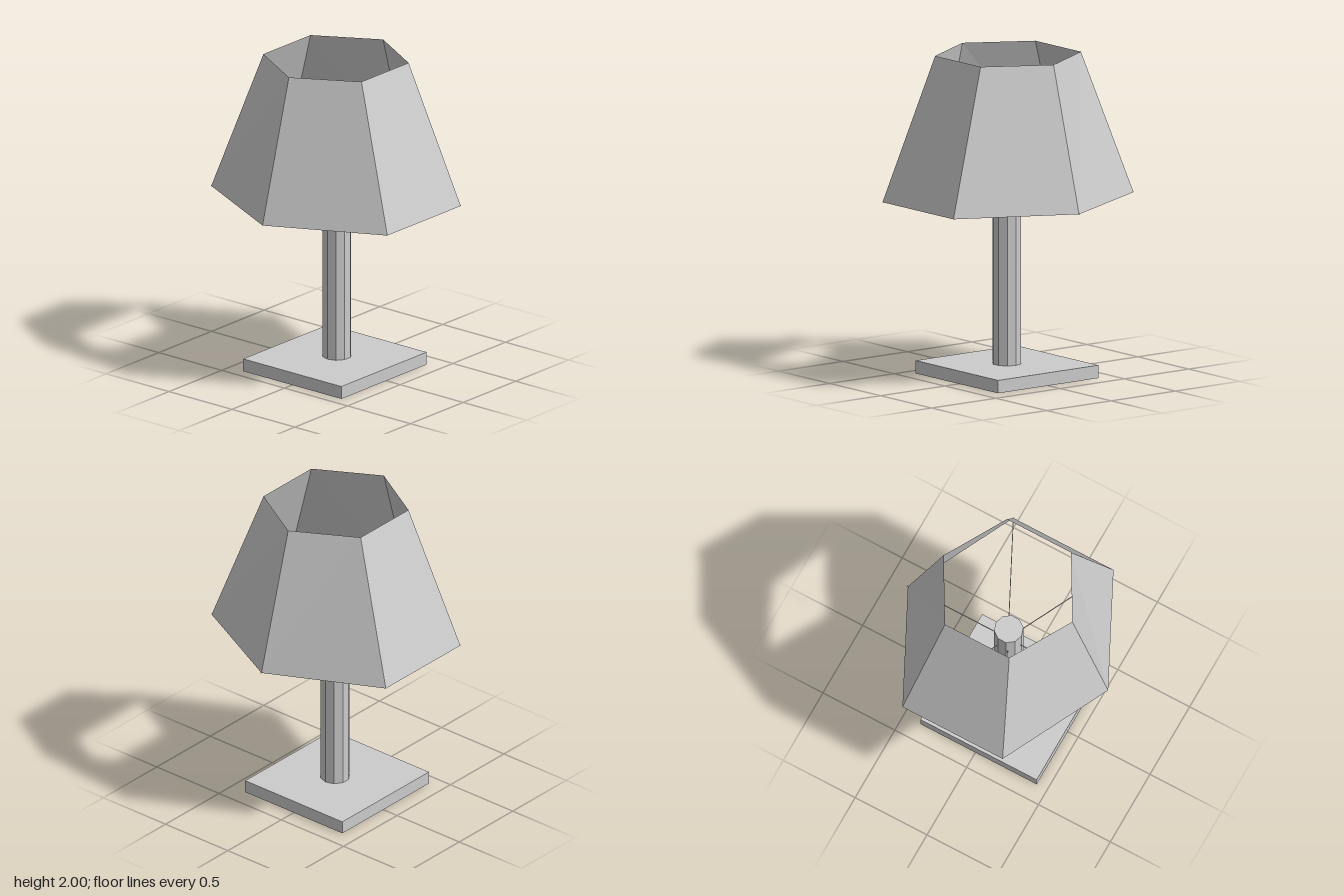
import * as THREE from 'three';

export function createModel() {
  const lamp = new THREE.Group();
  lamp.name = 'tableLamp';
  const grey = new THREE.MeshStandardMaterial({ color: 0xcccccc, flatShading: true });
  const thin = new THREE.MeshStandardMaterial({ color: 0xcccccc, flatShading: true, side: THREE.DoubleSide });
  const axisZ = 0.012;

  function add(name, geometry, material, x, y, z) {
    const mesh = new THREE.Mesh(geometry, material);
    mesh.name = name;
    mesh.position.set(x, y, z);
    lamp.add(mesh);
    return mesh;
  }

  // Flat square foot and ten-sided post
  add('base', new THREE.BoxGeometry(0.78, 0.08, 0.81), grey, 0, 0.04, 0.022);
  const postTop = 1.26;
  add('post', new THREE.CylinderGeometry(0.09, 0.09, postTop - 0.08, 10), grey, 0.008, (postTop + 0.08) / 2, 0.013);

  // Open six-sided shade: a unit hexagonal tube whose rims are stretched separately
  const shadeBottom = 1.11, shadeHeight = 0.89;
  const rim = { top: [0.45, 0.447], bottom: [0.808, 0.697] };
  const shade = new THREE.CylinderGeometry(1, 1, shadeHeight, 6, 1, true);
  const p = shade.attributes.position;
  for (let i = 0; i < p.count; i++) {
    const [sx, sz] = p.getY(i) > 0 ? rim.top : rim.bottom;
    p.setX(i, p.getX(i) * sx);
    p.setZ(i, p.getZ(i) * sz);
  }
  shade.computeVertexNormals();
  add('shade', shade, thin, 0, shadeBottom + shadeHeight / 2, axisZ);

  // Three thin wires crossing between opposite corners of the lower rim
  for (let i = 0; i < 3; i++) {
    const a = (i * Math.PI) / 3;
    const x = Math.sin(a) * rim.bottom[0];
    const z = Math.cos(a) * rim.bottom[1];
    const wire = add('shadeWire' + (i + 1), new THREE.BoxGeometry(0.005, 0.005, 2 * Math.hypot(x, z)),
      grey, 0, shadeBottom + 0.003, i === 0 ? 0.005 : axisZ);
    wire.rotation.y = Math.atan2(x, z);
  }
  return lamp;
}
